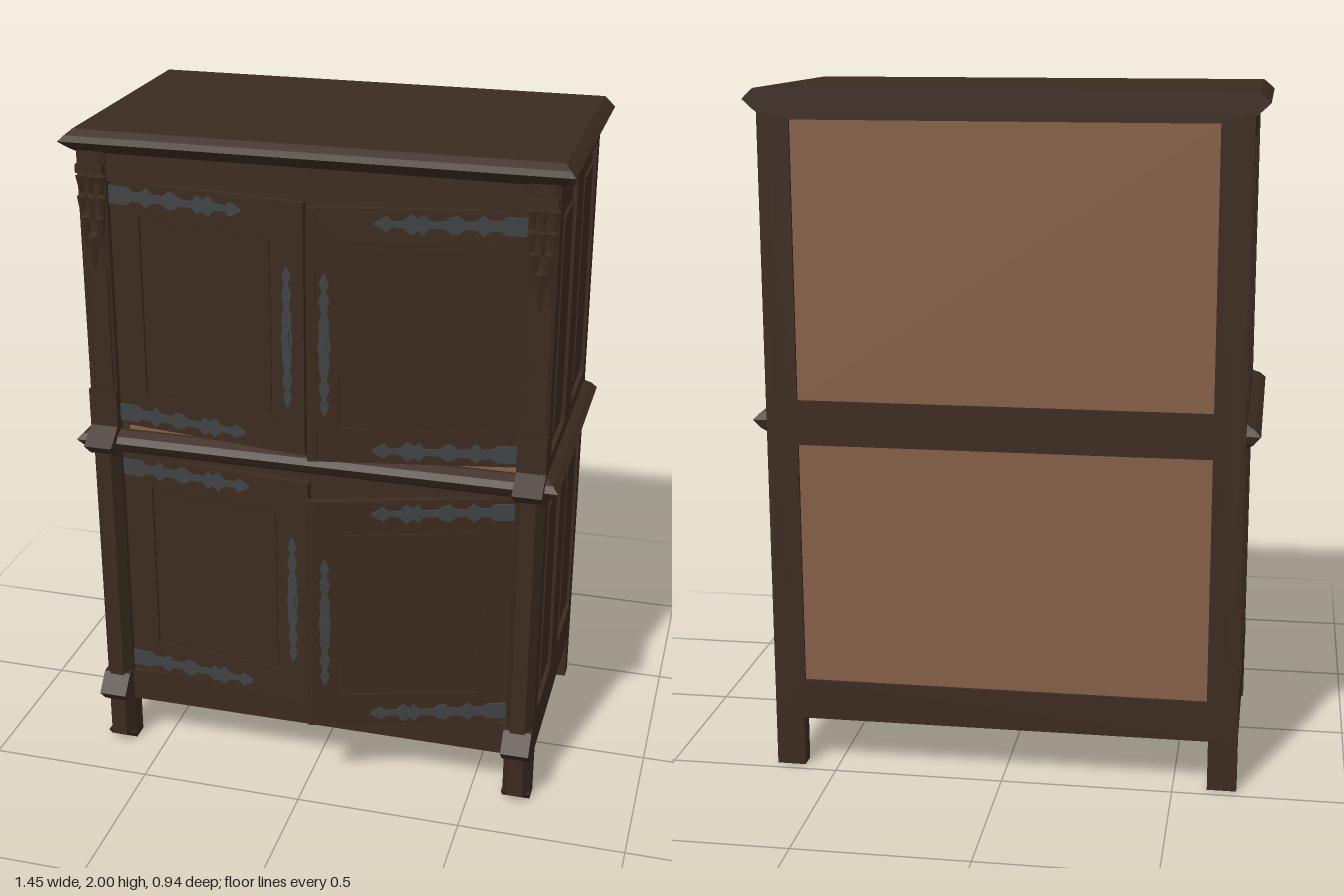
import * as THREE from 'three';

const material = (name, color) => Object.assign(new THREE.MeshStandardMaterial({ color }), { name });

export function createModel() {
  const root = new THREE.Group();
  root.name = 'cupboard';
  const wood = material('dark wood', 0x3c2b20);
  const board = material('light wood', 0x845f47);
  const iron = material('dark iron', 0x404244);

  const add = (name, geo, mat = wood, parent = root) => {
    const m = new THREE.Mesh(geo, mat);
    m.name = name;
    parent.add(m);
    return m;
  };
  // Box given by its two extreme corners
  const box = (name, x0, x1, y0, y1, z0, z1, mat = wood, parent = root) => {
    const m = add(name, new THREE.BoxGeometry(x1 - x0, y1 - y0, z1 - z0), mat, parent);
    m.position.set((x0 + x1) / 2, (y0 + y1) / 2, (z0 + z1) / 2);
    return m;
  };
  const polygon = (pts) => new THREE.Shape(pts.map(([x, y]) => new THREE.Vector2(x, y)));
  const rect = (x0, x1, y0, y1) => [[x0, y0], [x1, y0], [x1, y1], [x0, y1]];
  const extrude = (pts, depth, holes = []) => {
    const s = polygon(pts);
    s.holes = holes.map((h) => new THREE.Path(polygon(h.slice().reverse()).getPoints()));
    return new THREE.ExtrudeGeometry(s, { depth, bevelEnabled: false });
  };
  // Stack of rectangles, each ring = [y, half width, back z, front z]
  const stack = (rings) => {
    const v = [];
    const corner = ([y, x, z0, z1], i) => [[-x, y, z1], [x, y, z1], [x, y, z0], [-x, y, z0]][i % 4];
    const quad = (a, b, c, d) => v.push(...a, ...b, ...c, ...a, ...c, ...d);
    for (let r = 0; r < rings.length - 1; r++)
      for (let i = 0; i < 4; i++)
        quad(corner(rings[r], i), corner(rings[r], i + 1), corner(rings[r + 1], i + 1), corner(rings[r + 1], i));
    const lo = rings[0], hi = rings[rings.length - 1];
    quad(...[3, 2, 1, 0].map((i) => corner(lo, i)));
    quad(...[0, 1, 2, 3].map((i) => corner(hi, i)));
    const g = new THREE.BufferGeometry();
    g.setAttribute('position', new THREE.Float32BufferAttribute(v, 3));
    g.computeVertexNormals();
    return g;
  };

  // Mouldings around the top and the middle
  add('topCornice', stack([[1.935, 0.685, -0.47, 0.305], [1.948, 0.702, -0.47, 0.322],
    [1.97, 0.725, -0.47, 0.345], [1.985, 0.71, -0.47, 0.33], [2.0, 0.693, -0.47, 0.308]]));
  add('middleCornice', stack([[1.02, 0.685, -0.45, 0.31], [1.035, 0.705, -0.462, 0.33],
    [1.06, 0.725, -0.47, 0.345], [1.077, 0.708, -0.462, 0.33], [1.09, 0.685, -0.45, 0.305]]));

  // Sides: framed, with four raised fields each
  const panelZ = [[-0.02, 0.24], [-0.42, -0.15]];
  const panelY = [[0.28, 0.99], [1.13, 1.87]];
  const openings = panelZ.flatMap((z) => panelY.map((y) => rect(...z, ...y)));
  for (const s of [1, -1]) {
    const side = add('sideFrame', extrude(rect(-0.47, 0.27, 0.15, 1.94), 0.03, openings));
    side.rotation.y = -Math.PI / 2;
    side.position.x = s > 0 ? 0.685 : -0.655;
    for (const [z0, z1] of panelZ) for (const [y0, y1] of panelY) {
      const h = (y1 - y0) / 2;
      const ring = (x, inset) => [x, h - inset, z0 + inset, z1 - inset];
      const p = add('sidePanel', stack([ring(0.655, 0), ring(0.672, 0), ring(0.672, 0.04),
        ring(0.676, 0.052), ring(0.682, 0.052)]));
      p.rotation.z = -s * Math.PI / 2;
      p.position.y = (y0 + y1) / 2;
    }
  }

  // Back frame and boards, inner lining and floors
  const back = add('backFrame', extrude(rect(-0.685, 0.685, 0.15, 1.94), 0.02,
    [rect(-0.594, 0.594, 0.27, 0.99), rect(-0.594, 0.594, 1.12, 1.915)]));
  back.position.z = -0.47;
  for (const [y0, y1] of [[0.26, 1.0], [1.11, 1.925]]) {
    box('backBoard', -0.61, 0.61, y0, y1, -0.461, -0.451, board);
    box('backLining', -0.655, 0.655, y0, y1, -0.45, -0.44);
  }
  box('bottomBoard', -0.655, 0.655, 0.2, 0.25, -0.45, 0.27);
  box('lowerFloor', -0.6, 0.6, 0.25, 0.256, -0.439, 0.275, board);
  box('middleBoard', -0.655, 0.655, 1.03, 1.094, -0.45, 0.295);
  box('upperFloor', -0.57, 0.6, 1.094, 1.104, -0.439, 0.302, board);

  // Front rails
  box('topRail', -0.61, 0.61, 1.857, 1.94, 0.24, 0.305);
  box('middleRail', -0.61, 0.61, 1.006, 1.03, 0.24, 0.305);
  box('bottomRail', -0.61, 0.61, 0.15, 0.254, 0.24, 0.31);

  // Corner posts, feet and carved pendants
  const post = (name, x, y0, y1, front, tip) => {
    const m = add(name, extrude([[-0.0425, -0.255], [-0.0425, -0.31], [-tip, -front], [tip, -front],
      [0.0425, -0.31], [0.0425, -0.255]].reverse(), y1 - y0));
    m.rotation.x = -Math.PI / 2;
    m.position.set(x, y0, 0);
  };
  const wedge = (name, x, pts) => {
    const m = add(name, extrude(pts, 0.085));
    m.rotation.y = -Math.PI / 2;
    m.position.x = x + 0.0425;
  };
  for (const s of [1, -1]) {
    const x = s * 0.6425;
    box('backFoot', x - 0.0425, x + 0.0425, 0, 0.2, -0.47, -0.42);
    post('frontFoot', x, 0.03, 0.17, 0.35, 0.024);
    wedge('footToe', x, [[0.255, 0], [0.31, 0], [0.335, 0.03], [0.255, 0.03]]);
    wedge('footMoulding', x, [[0.255, 0.15], [0.35, 0.16], [0.388, 0.2], [0.34, 0.255], [0.255, 0.255]]);
    wedge('postMoulding', x, [[0.26, 1.0], [0.34, 1.02], [0.388, 1.06], [0.32, 1.11], [0.26, 1.11]]);
    post('lowerPost', x, 0.25, 1.02, 0.345, 0.022);
    post('upperPost', x, 1.08, 1.94, 0.32, 0.026);
    box('postBlock', x - 0.0425, x + 0.0425, 1.09, 1.22, 0.26, 0.325);
    for (const dx of [-0.028, 0.028]) box('postRib', x + dx - 0.006, x + dx + 0.006, 1.22, 1.6, 0.3, 0.322);
    // Tiers of small hanging points below a canopy
    [[1.63, 1, 0, 0.022, 0.13], [1.69, 2, 0.042, 0.018, 0.12], [1.76, 3, 0.029, 0.015, 0.1],
      [1.83, 3, 0.029, 0.016, 0.08]].forEach(([y, n, gap, r, h]) => {
      for (let i = 0; i < n; i++) {
        const px = x + (i - (n - 1) / 2) * gap;
        const c = add('pendantPoint', new THREE.ConeGeometry(r, h, 6).toNonIndexed());
        c.geometry.computeVertexNormals();
        c.rotation.x = Math.PI;
        c.position.set(px, y, 0.317);
        const k = add('pendantKnob', new THREE.OctahedronGeometry(r * 0.85));
        k.position.set(px, y + h / 2, 0.319);
      }
    });
    box('pendantCanopy', x - 0.04, x + 0.04, 1.88, 1.905, 0.29, 0.332);
  }

  // Iron outline: mirrored half widths along a length
  const ironwork = (profile) => extrude([...profile, ...profile.slice().reverse().map(([t, w]) => [t, -w])], 0.006);
  const strap = ironwork([[0, 0.026], [0.06, 0.026], [0.075, 0.014], [0.1, 0.014], [0.12, 0.03], [0.14, 0.012],
    [0.17, 0.012], [0.19, 0.026], [0.21, 0.022], [0.225, 0.01], [0.265, 0.01], [0.28, 0.028], [0.295, 0.016],
    [0.315, 0.03], [0.335, 0.01], [0.365, 0.008], [0.38, 0.022], [0.395, 0.014], [0.415, 0.002]]);
  const plate = ironwork([[0, 0.003], [0.03, 0.014], [0.05, 0.006], [0.08, 0.016], [0.11, 0.008], [0.15, 0.016],
    [0.18, 0.013], [0.21, 0.019], [0.24, 0.013], [0.27, 0.016], [0.31, 0.008], [0.34, 0.016], [0.37, 0.006],
    [0.39, 0.014], [0.42, 0.003]]);

  // Doors hang open at slight angles; side +1 hinges on the +x post
  const W = 0.6, H = 0.75;
  const door = (name, side, y, degrees) => {
    const g = new THREE.Group();
    g.name = name;
    const X = (d) => -side * d; // distance from the hinge to local x
    const span = (a, b) => [Math.min(X(a), X(b)), Math.max(X(a), X(b))];
    const frame = add('doorFrame', extrude(rect(...span(0, W), 0, H), 0.024,
      [rect(...span(0.09, 0.51), 0.105, 0.655)]), wood, g);
    frame.position.z = -0.024;
    box('doorPanel', ...span(0.085, 0.515), 0.1, 0.66, -0.022, -0.008, wood, g);
    box('doorField', ...span(0.105, 0.495), 0.12, 0.64, -0.01, -0.003, wood, g);
    for (const h of [0.04, 0.71]) {
      const m = add('hingeStrap', strap, iron, g);
      m.position.set(0, h, side > 0 ? 0.006 : 0);
      if (side > 0) m.rotation.y = Math.PI;
    }
    const lock = add('lockPlate', plate, iron, g);
    lock.rotation.z = Math.PI / 2;
    lock.position.set(X(0.55), 0.145, 0);
    box('lockBolt', X(0.55) - 0.008, X(0.55) + 0.008, 0.33, 0.38, 0, 0.012, iron, g);
    if (side > 0) box('meetingStrip', ...span(0.572, 0.598), 0.005, H - 0.005, 0, 0.006, wood, g);
    g.position.set(side * 0.6, y, 0.291);
    g.rotation.y = side * THREE.MathUtils.degToRad(degrees);
    root.add(g);
  };
  door('upperLeftDoor', 1, 1.105, 11);
  door('upperRightDoor', -1, 1.105, 7.8);
  door('lowerLeftDoor', 1, 0.255, 17.2);
  door('lowerRightDoor', -1, 0.255, 6);
  return root;
}
